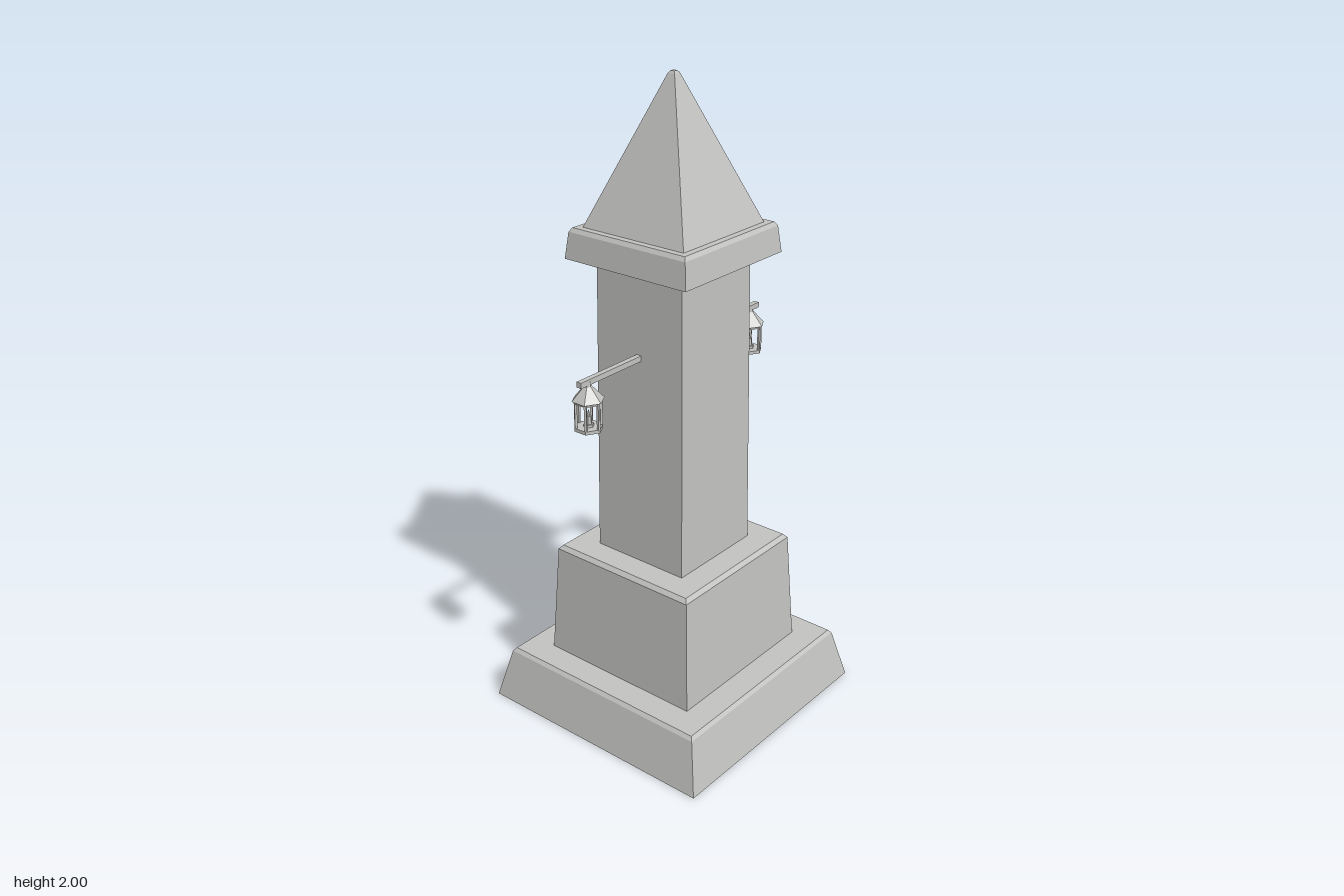
import * as THREE from 'three';

const stone = new THREE.MeshStandardMaterial({ color: 0xc2c2c0 });
stone.name = 'grey stone';

// Give a geometry hard facets
function faceted(geometry) {
  const g = geometry.toNonIndexed();
  g.computeVertexNormals();
  return g;
}

function addMesh(parent, name, geometry, x = 0, y = 0, z = 0) {
  const mesh = new THREE.Mesh(faceted(geometry), stone);
  mesh.name = name;
  mesh.position.set(x, y, z);
  parent.add(mesh);
  return mesh;
}

// Closed square block from [halfWidth, y] steps, bottom to top
function squareBlock(profile) {
  const steps = [[0, profile[0][1]], ...profile, [0, profile[profile.length - 1][1]]];
  const points = steps.map(([half, y]) => new THREE.Vector2(half * Math.SQRT2, y));
  return new THREE.LatheGeometry(points, 4, Math.PI / 4);
}

// Six-sided prism or frustum between two heights
function hexBlock(topRadius, bottomRadius, y0, y1) {
  return new THREE.CylinderGeometry(topRadius, bottomRadius, y1 - y0, 6).translate(0, (y0 + y1) / 2, 0);
}

function makeLantern() {
  const lantern = new THREE.Group();
  lantern.name = 'lantern';
  addMesh(lantern, 'lanternHanger', hexBlock(0.009, 0.012, 1.19, 1.217));
  addMesh(lantern, 'lanternRoof', hexBlock(0.011, 0.048, 1.155, 1.196));
  addMesh(lantern, 'lanternTopRim', hexBlock(0.041, 0.041, 1.147, 1.156));
  addMesh(lantern, 'lanternFloor', hexBlock(0.042, 0.042, 1.064, 1.074));
  // Corner posts of the open cage
  for (let i = 0; i < 6; i++) {
    const a = (i * Math.PI) / 3;
    const post = addMesh(lantern, 'lanternPost', new THREE.BoxGeometry(0.007, 0.08, 0.007),
      Math.sin(a) * 0.037, 1.111, Math.cos(a) * 0.037);
    post.rotation.y = a;
  }
  // Candle with its wick
  addMesh(lantern, 'candleHolder', hexBlock(0.015, 0.015, 1.074, 1.082));
  addMesh(lantern, 'candle', hexBlock(0.009, 0.010, 1.082, 1.106));
  addMesh(lantern, 'candleFlame', hexBlock(0.001, 0.005, 1.106, 1.124));
  return lantern;
}

export function createModel() {
  const model = new THREE.Group();
  model.name = 'lanternPillar';

  // Stepped stone body
  const blocks = {
    base: [[0.405, 0], [0.367, 0.162], [0.358, 0.173]],
    pedestal: [[0.274, 0.17], [0.255, 0.53], [0.244, 0.543]],
    shaft: [[0.164, 0.54], [0.156, 1.455], [0.148, 1.466]],
    neck: [[0.14, 1.46], [0.14, 1.48]],
    capital: [[0.22, 1.476], [0.211, 1.555], [0.203, 1.567]],
    spire: [[0.183, 1.565], [0.012, 1.993], [0.007, 2]],
  };
  for (const [name, profile] of Object.entries(blocks)) {
    addMesh(model, name, squareBlock(profile));
  }

  // A bracket and a hanging lantern on each side
  for (const side of [-1, 1]) {
    addMesh(model, side > 0 ? 'leftBracket' : 'rightBracket',
      new THREE.BoxGeometry(0.27, 0.017, 0.017), side * 0.275, 1.209, 0);
    const lantern = makeLantern();
    lantern.name = side > 0 ? 'leftLantern' : 'rightLantern';
    lantern.position.x = side * 0.375;
    model.add(lantern);
  }
  return model;
}
